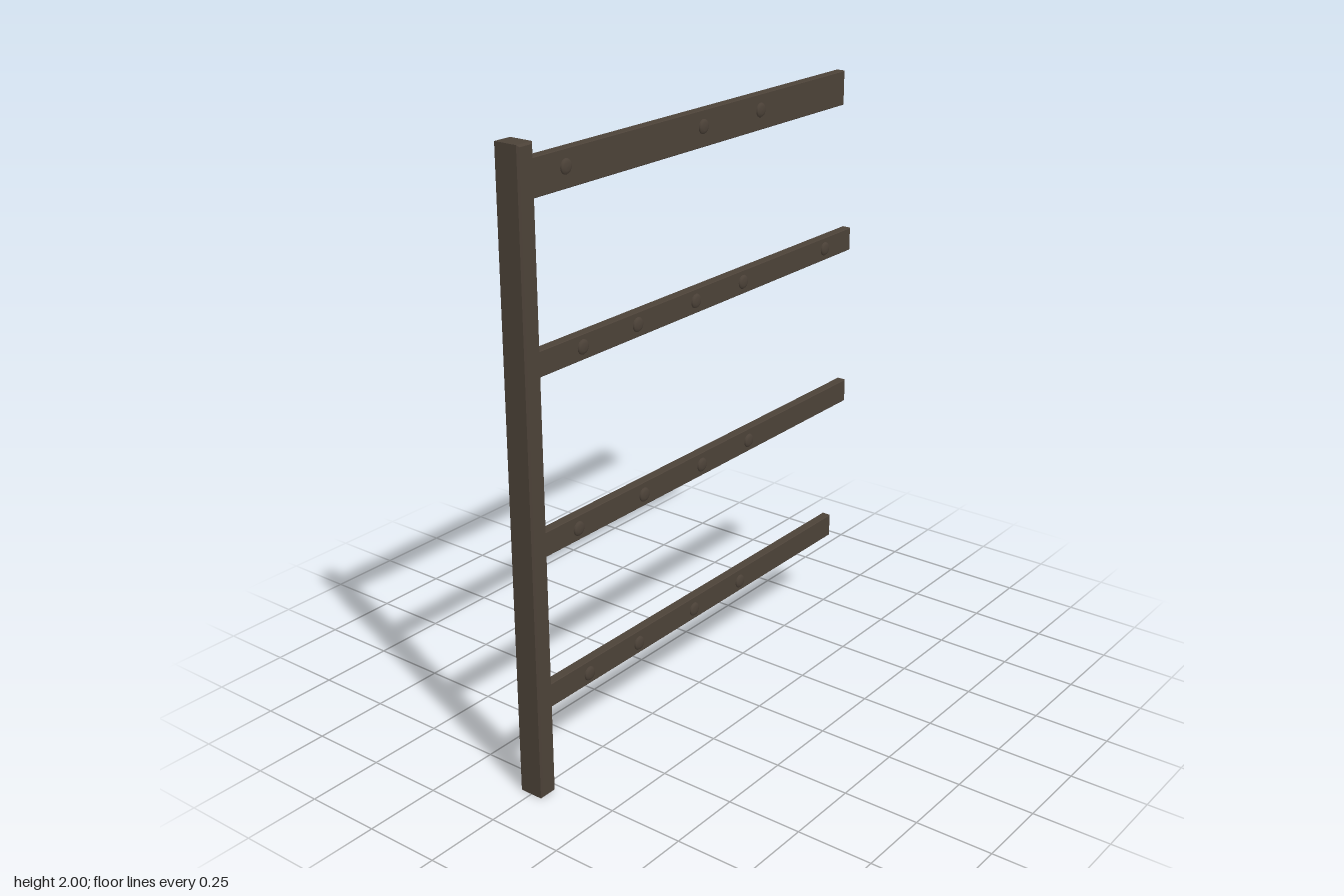
import * as THREE from 'three';

const wood = new THREE.MeshStandardMaterial({ color: 0x4c4238 });
wood.name = 'darkWood';

// Box with a small chamfer on every edge
function chamferBox(w, h, d, c) {
  const x = w / 2 - c, y = h / 2 - c;
  const shape = new THREE.Shape([
    new THREE.Vector2(-x, -y), new THREE.Vector2(x, -y),
    new THREE.Vector2(x, y), new THREE.Vector2(-x, y),
  ]);
  const geo = new THREE.ExtrudeGeometry(shape, {
    depth: d - 2 * c, bevelEnabled: true, bevelThickness: c, bevelSize: c, bevelSegments: 1,
  });
  return geo.translate(0, 0, c - d / 2);
}

// Each rail: bottom, top, free end, peg height and peg positions along x
const RAILS = [
  { y0: 1.835, y1: 1.948, end: 0.763, pegY: 1.898, pegs: [-0.616, 0, 0.291] },
  { y0: 1.323, y1: 1.401, end: 0.827, pegY: 1.363, pegs: [-0.564, -0.318, -0.037, 0.207, 0.671] },
  { y0: 0.768, y1: 0.847, end: 0.825, pegY: 0.806, pegs: [-0.603, -0.298, -0.007, 0.246] },
  { y0: 0.268, y1: 0.347, end: 0.753, pegY: 0.304, pegs: [-0.572, -0.333, -0.048, 0.204] },
];

export function createModel() {
  const root = new THREE.Group();
  root.name = 'fencePanel';

  const add = (parent, name, geo, x, y, z = 0) => {
    const mesh = new THREE.Mesh(geo, wood);
    mesh.name = name;
    mesh.position.set(x, y, z);
    parent.add(mesh);
  };

  // Upright post
  add(root, 'post', chamferBox(0.061, 2, 0.09, 0.006), -0.802, 1);

  // Peg running through a rail, with a rounded head on both faces
  const profile = [[0, -0.024], [0.012, -0.0235], [0.02, -0.021], [0.023, -0.017],
    [0.023, 0.017], [0.02, 0.021], [0.012, 0.0235], [0, 0.024]];
  const pegGeo = new THREE.LatheGeometry(profile.map(([r, y]) => new THREE.Vector2(r, y)), 16);
  pegGeo.rotateX(Math.PI / 2);

  // Rails set into the post
  RAILS.forEach(({ y0, y1, end, pegY, pegs }, i) => {
    const group = new THREE.Group();
    group.name = `railGroup${i + 1}`;
    root.add(group);
    const start = -0.79;
    add(group, 'rail', chamferBox(end - start, y1 - y0, 0.032, 0.002), (start + end) / 2, (y0 + y1) / 2);
    pegs.forEach((x) => add(group, 'peg', pegGeo, x, pegY));
  });

  return root;
}
